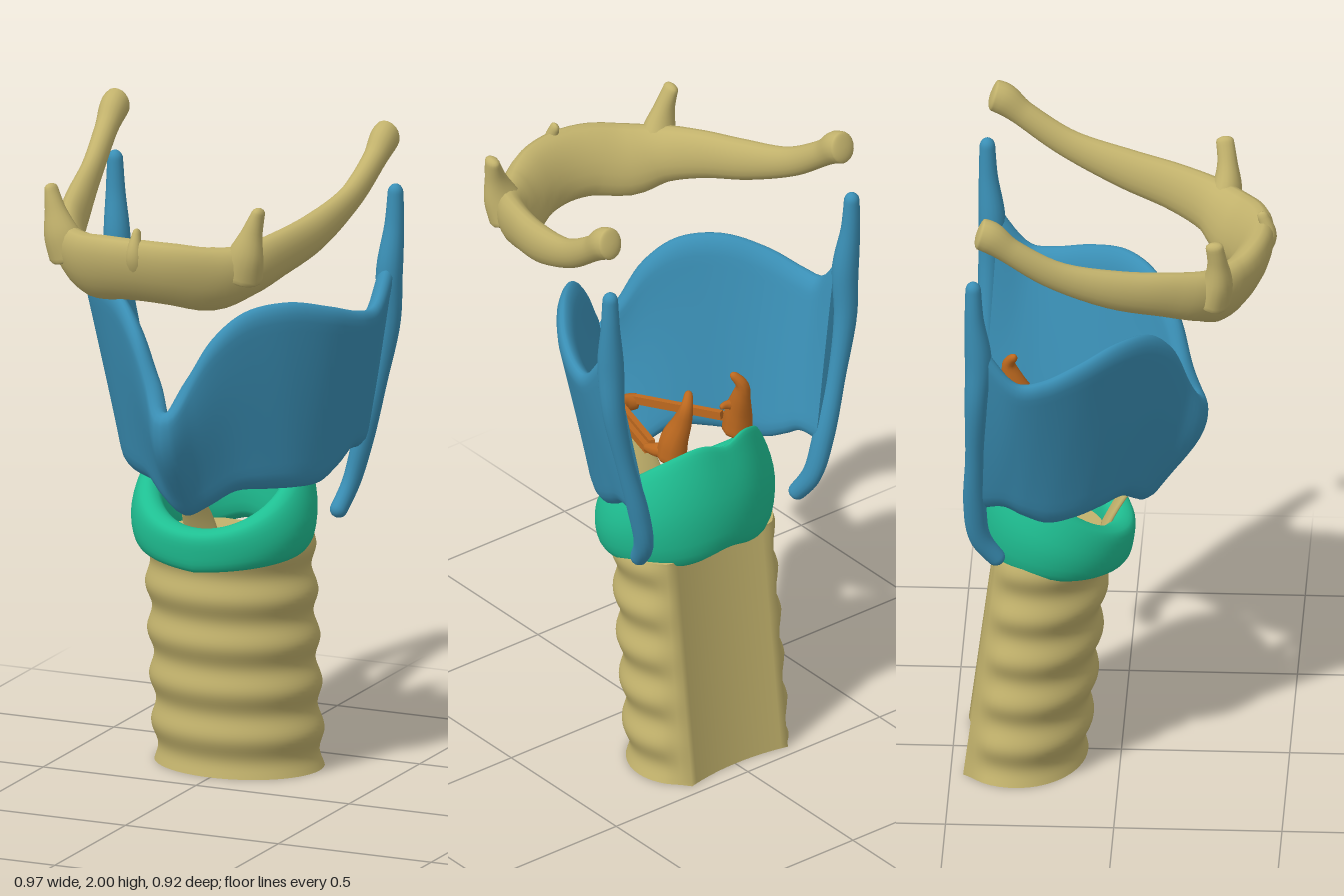
import * as THREE from 'three';

const V = (x, y, z) => new THREE.Vector3(x, y, z);
const mat = (color) => new THREE.MeshStandardMaterial({ color, side: THREE.DoubleSide });
const BONE = mat(0xc2b26c), BLUE = mat(0x3a8fb5), GREEN = mat(0x1fbf92), ORANGE = mat(0xbd691f);

// Skins a list of vertex rings; ends: 0 = path is a loop, 1 = cap the last ring only, 2 = cap both
function loft(rings, ends = 2) {
  const n = rings[0].length, m = rings.length, pos = [], idx = [];
  rings.forEach((r) => r.forEach((p) => pos.push(p.x, p.y, p.z)));
  for (let i = 0; i < (ends ? m - 1 : m); i++) {
    for (let j = 0; j < n; j++) {
      const k = (i + 1) % m, l = (j + 1) % n;
      const a = i * n + j, b = i * n + l, c = k * n + j, d = k * n + l;
      idx.push(a, b, c, b, d, c);
    }
  }
  [rings[m - 1], rings[0]].slice(0, ends).forEach((r, first) => {
    const s = pos.length / 3, mid = V(0, 0, 0);
    r.forEach((p) => { pos.push(p.x, p.y, p.z); mid.addScaledVector(p, 1 / n); });
    pos.push(mid.x, mid.y, mid.z);
    for (let j = 0; j < n; j++) {
      const l = s + ((j + 1) % n);
      if (first) idx.push(l, s + j, s + n); else idx.push(s + j, l, s + n);
    }
  });
  // Signed volume tells whether the faces point outwards
  const at = (i) => V(pos[3 * i], pos[3 * i + 1], pos[3 * i + 2]);
  let vol = 0;
  for (let i = 0; i < idx.length; i += 3) vol += at(idx[i]).dot(at(idx[i + 1]).cross(at(idx[i + 2])));
  if (vol < 0) idx.reverse();
  const g = new THREE.BufferGeometry();
  g.setAttribute('position', new THREE.Float32BufferAttribute(pos, 3));
  g.setIndex(idx);
  g.computeVertexNormals();
  return g;
}

// Round-ended sweep through points [x, y, z, halfWidth, halfHeight]
function sweep(pts, ref, steps = 40, sides = 16, end = 0.06) {
  const path = new THREE.CatmullRomCurve3(pts.map((p) => V(p[0], p[1], p[2])));
  const size = new THREE.CatmullRomCurve3(pts.map((p) => V(p[3], p[4], 0)));
  const rings = [];
  for (let i = 0; i <= steps; i++) {
    const t = (1 - Math.cos((Math.PI * i) / steps)) / 2;
    const c = path.getPoint(t), s = size.getPoint(t), T = path.getTangent(t);
    const S = T.clone().cross(ref).normalize(), H = T.clone().cross(S);
    const d = Math.min(1, Math.min(t, 1 - t) / end);
    const k = Math.max(0.02, Math.sqrt(1 - (1 - d) ** 2));
    rings.push(Array.from({ length: sides }, (_, j) => {
      const a = (2 * Math.PI * j) / sides;
      return c.clone().addScaledVector(S, s.x * k * Math.cos(a)).addScaledVector(H, s.y * k * Math.sin(a));
    }));
  }
  return loft(rings);
}

// Mirrors half a list of points whose first entry lies on the middle plane
const mirrored = (pts) => [...pts.slice(1).reverse().map(([x, ...r]) => [-x, ...r]), ...pts];
const flip = (pts, s) => pts.map(([x, ...r]) => [x * s, ...r]);

export function createModel() {
  const model = new THREE.Group();
  const add = (name, geo, material, parent = model) => {
    const mesh = new THREE.Mesh(geo, material);
    mesh.name = name;
    parent.add(mesh);
    return mesh;
  };
  const UP = V(0, 1, 0), FWD = V(0, 0, 1);

  // Windpipe: ringed D-shaped tube with a hollowed plain back, open below
  const tube = [];
  for (let i = 0; i <= 70; i++) {
    const y = (0.73 * i) / 70, f = 1 - y / 0.73, c = -0.235 - 0.073 * f;
    const wave = 0.009 * Math.sin(((y - 0.085) / 0.145) * 2 * Math.PI);
    tube.push(Array.from({ length: 56 }, (_, j) => {
      const a = (2 * Math.PI * j) / 56, co = Math.cos(a), si = Math.sin(a);
      const back = co < -0.66;
      const w = back ? 0 : wave * Math.min(1, (co + 0.66) * 4);
      const z = back ? -0.137 - 0.02 * f + 0.025 * (1 - (si / 0.75) ** 2) : (0.205 + w) * co;
      return V((0.257 + w) * si, y, c + z);
    }));
  }
  add('windpipe', loft(tube, 1), BONE);

  // Signet-shaped ring cartilage: low in front, tall plate behind
  const signet = [];
  for (let i = 0; i < 72; i++) {
    const a = (2 * Math.PI * i) / 72, s = (1 - Math.cos(a)) / 2;
    const top = 0.79 + 0.325 * s - 0.035 * Math.exp(-14 * (Math.PI - a) ** 2);
    const bot = 0.655 + 0.045 * Math.sqrt(s) + 0.03 * Math.exp(-8 * (Math.PI - a) ** 2);
    const at = (rx, rz, f) => V(rx * Math.sin(a), bot + (top - bot) * f, -0.2 + rz * Math.cos(a));
    const section = new THREE.CatmullRomCurve3([
      at(0.225, 0.185, 0), at(0.262, 0.222, 0.06), at(0.285, 0.238, 0.45),
      at(0.275 - 0.04 * s, 0.237 - 0.03 * s, 0.88), at(0.24 - 0.03 * s, 0.2 - 0.01 * s, 1),
      at(0.2, 0.165, 0.9), at(0.185, 0.15, 0.5), at(0.19, 0.155, 0.08),
    ], true);
    signet.push(section.getPoints(32).slice(0, 32));
  }
  add('ringCartilage', loft(signet, 0), GREEN);

  // Shield cartilage: V-shaped plate between a lower and an upper edge curve
  const edge = (pts) => new THREE.CatmullRomCurve3(mirrored(pts).map((p) => V(...p)));
  const low = edge([[0, 0.845, 0.06], [0.06, 0.875, 0.045], [0.13, 0.92, 0], [0.2, 0.92, -0.06],
    [0.26, 0.915, -0.13], [0.3, 0.915, -0.21], [0.322, 0.95, -0.28], [0.333, 0.985, -0.34], [0.345, 0.98, -0.42]]);
  const high = edge([[0, 1.2, 0.225], [0.055, 1.3, 0.185], [0.12, 1.42, 0.15], [0.2, 1.5, 0.09],
    [0.3, 1.52, 0], [0.385, 1.49, -0.11], [0.432, 1.455, -0.22], [0.446, 1.455, -0.29], [0.45, 1.57, -0.385]]);
  const plateAt = (t, v) => {
    const p = low.getPoint(t).lerp(high.getPoint(t), v);
    p.z += 0.05 * Math.sin(Math.PI * v ** 1.4) * Math.exp(-Math.abs(p.x) * 9);
    return p;
  };
  const plate = [];
  for (let i = 0; i <= 96; i++) {
    const t = i / 96;
    plate.push(Array.from({ length: 40 }, (_, j) => {
      const a = (2 * Math.PI * j) / 40, v = (1 - Math.cos(a)) / 2, si = Math.sin(a);
      const d = plateAt(Math.min(1, t + 0.01), v).sub(plateAt(Math.max(0, t - 0.01), v));
      const n = V(-d.z, 0, d.x).normalize();
      return plateAt(t, v).addScaledVector(n, 0.028 * Math.sign(si) * Math.min(1, Math.abs(si) * 2));
    }));
  }
  const shield = new THREE.Group();
  shield.name = 'shieldCartilage';
  model.add(shield);
  add('shieldPlate', loft(plate), BLUE, shield);

  // Middle ligament between shield and ring
  add('middleLigament', sweep([[0, 0.74, -0.055, 0.06, 0.01], [0, 0.83, -0.01, 0.052, 0.01],
    [0, 0.93, 0.055, 0.035, 0.01]], FWD, 12, 12, 0.005), BONE);

  // Tongue bone: U-shaped bar, deep and tilted forward in front, with slender rising arms
  const tongueBone = new THREE.Group();
  tongueBone.name = 'tongueBone';
  model.add(tongueBone);
  add('tongueBoneBar', sweep(mirrored([[0, 1.68, 0.39, 0.052, 0.11], [0.1, 1.675, 0.375, 0.054, 0.11],
    [0.2, 1.66, 0.325, 0.055, 0.11], [0.285, 1.68, 0.26, 0.05, 0.088], [0.34, 1.71, 0.15, 0.042, 0.075],
    [0.385, 1.745, 0, 0.04, 0.064], [0.42, 1.81, -0.18, 0.032, 0.045], [0.437, 1.895, -0.31, 0.034, 0.04],
    [0.441, 1.945, -0.375, 0.042, 0.05], [0.441, 1.957, -0.41, 0.04, 0.048]]),
  V(0, 1, 0.42).normalize(), 110, 18, 0.022), BONE, tongueBone);
  add('frontRidge', sweep([[0, 1.66, 0.41, 0.03, 0.02], [0, 1.735, 0.44, 0.026, 0.022],
    [0, 1.815, 0.415, 0.009, 0.015]], FWD, 14), BONE, tongueBone);

  // Paired parts
  for (const [side, s] of [['left', 1], ['right', -1]]) {
    add(`${side}LesserHorn`, sweep(flip([[0.275, 1.66, 0.28, 0.07, 0.06], [0.302, 1.74, 0.3, 0.055, 0.045],
      [0.322, 1.81, 0.3, 0.032, 0.03], [0.343, 1.885, 0.29, 0.016, 0.026]], s), FWD, 24), BONE, tongueBone);
    // Back border of the shield running into its upper and lower horns
    add(`${side}ShieldHorn`, sweep(flip([[0.459, 1.8, -0.42, 0.022, 0.022], [0.456, 1.68, -0.417, 0.029, 0.028],
      [0.445, 1.53, -0.405, 0.04, 0.04], [0.44, 1.38, -0.412, 0.036, 0.034], [0.4, 1.18, -0.418, 0.028, 0.028],
      [0.352, 1, -0.42, 0.031, 0.034], [0.32, 0.87, -0.405, 0.027, 0.033],
      [0.295, 0.775, -0.345, 0.026, 0.026]], s), FWD, 60, 16, 0.03), BLUE, shield);

    // Pyramid cartilage on the ring's back plate, with its two spurs
    const pyramid = new THREE.Group();
    pyramid.name = `${side}PyramidCartilage`;
    model.add(pyramid);
    add('pyramidBody', sweep(flip([[0.125, 1.03, -0.29, 0.045, 0.05], [0.122, 1.1, -0.3, 0.04, 0.048],
      [0.112, 1.17, -0.325, 0.028, 0.034], [0.105, 1.23, -0.34, 0.02, 0.02],
      [0.08, 1.27, -0.32, 0.011, 0.011]], s), FWD, 24, 10), ORANGE, pyramid);
    add('frontSpur', sweep(flip([[0.12, 1.07, -0.3, 0.035, 0.03], [0.145, 1.055, -0.25, 0.022, 0.022],
      [0.153, 1.045, -0.2, 0.01, 0.012]], s), UP, 14, 10), ORANGE, pyramid);
    add('innerSpur', sweep(flip([[0.12, 1.14, -0.31, 0.022, 0.022], [0.08, 1.15, -0.3, 0.012, 0.014],
      [0.055, 1.15, -0.3, 0.007, 0.008]], s), UP, 10, 8), ORANGE, pyramid);

    // Vocal cord: two strands stretched from spur to shield
    for (const [x, y] of [[0, 0], [-0.018, 0.012]]) {
      const a = V(s * (0.15 + x), 1.04 + y, -0.21), b = V(s * (0.045 + x), 1.0 + y, 0.08);
      const cord = add(`${side}VocalCord`, new THREE.BoxGeometry(0.018, 0.024, a.distanceTo(b)), ORANGE);
      cord.position.copy(a).lerp(b, 0.5);
      cord.lookAt(b);
    }
  }

  // Front anchor joining both cords to the shield
  add('cordAnchor', sweep([[-0.042, 1.0, 0.075, 0.02, 0.025], [0, 1.0, 0.088, 0.02, 0.03],
    [0.042, 1.0, 0.075, 0.02, 0.025]], UP, 14, 10), ORANGE);

  return model;
}
